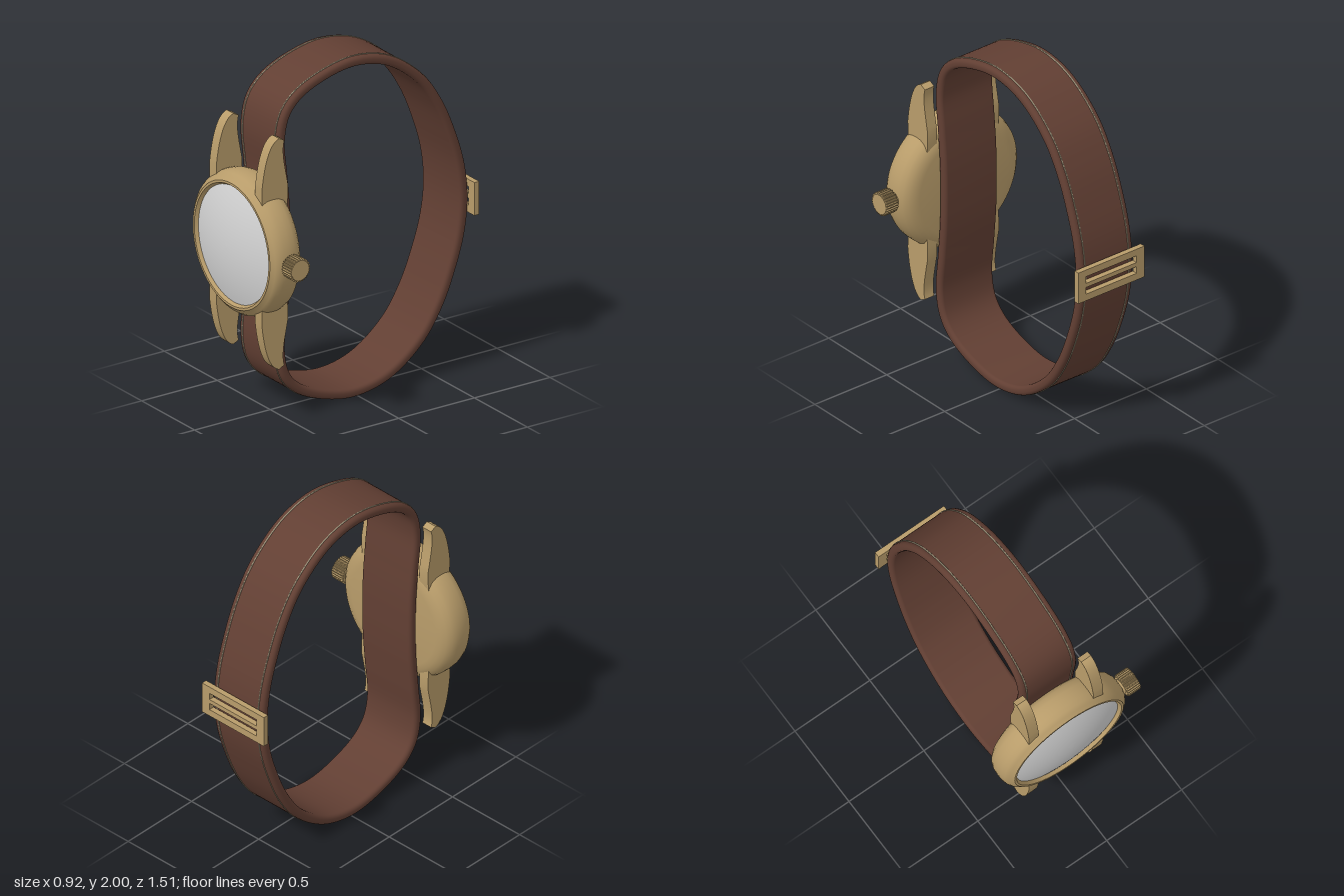
import * as THREE from 'three';
import { toCreasedNormals } from 'three/addons/utils/BufferGeometryUtils.js';

const CX = -0.05; // centre line of case and strap

export function createModel() {
  const model = new THREE.Group();
  const material = (name, color) => {
    const m = new THREE.MeshStandardMaterial({ color });
    m.name = name;
    return m;
  };
  const brass = material('brass', 0xb89c6a);
  const leather = material('brown leather', 0x623f33);
  const thread = material('stitch thread', 0x968c74);
  const glass = material('pale glass', 0xd4d4d4);

  const add = (name, geometry, mat) => {
    const mesh = new THREE.Mesh(geometry, mat);
    mesh.name = name;
    model.add(mesh);
    return mesh;
  };
  // Lathe turned so its axis points along +z; profile is [radius, z]
  const latheZ = (profile, segments = 72) =>
    new THREE.LatheGeometry(profile.map(([r, z]) => new THREE.Vector2(r, z)), segments).rotateX(Math.PI / 2);

  // Case with rounded flanks and a stepped bezel
  const caseProfile = [
    [0, 0.51], [0.31, 0.51], [0.345, 0.515], [0.375, 0.53], [0.398, 0.552], [0.41, 0.585],
    [0.412, 0.62], [0.41, 0.655], [0.402, 0.682], [0.388, 0.703], [0.368, 0.715],
    [0.364, 0.722], [0.35, 0.722], [0.336, 0.7], [0.32, 0.698],
  ];
  add('watchCase', toCreasedNormals(latheZ(caseProfile), 0.55), brass).position.set(CX, 1, 0);

  // Domed crystal
  const dome = [];
  for (let i = 0; i <= 12; i++) {
    const r = 0.338 * (1 - i / 12);
    dome.push([r, 0.755 - 0.052 * (r / 0.338) ** 2]);
  }
  add('crystal', latheZ(dome), glass).position.set(CX, 1, 0);

  // Four curved lugs, drawn in (z, y) and extruded across x
  const lugGeometry = (sign) => {
    const p = (z, y) => [-z, sign * y];
    const s = new THREE.Shape();
    s.moveTo(...p(0.53, 0.22));
    s.lineTo(...p(0.69, 0.22));
    s.lineTo(...p(0.693, 0.4));
    s.bezierCurveTo(...p(0.68, 0.52), ...p(0.65, 0.66), ...p(0.58, 0.678));
    s.lineTo(...p(0.545, 0.66));
    s.bezierCurveTo(...p(0.565, 0.6), ...p(0.545, 0.52), ...p(0.522, 0.4));
    s.lineTo(...p(0.522, 0.32));
    s.closePath();
    const g = new THREE.ExtrudeGeometry(s, { depth: 0.065, bevelEnabled: false, curveSegments: 12 });
    g.translate(0, 0, -0.0325).rotateY(Math.PI / 2);
    return toCreasedNormals(g, 0.5);
  };
  for (const side of [-1, 1]) {
    for (const end of [-1, 1]) {
      const name = (end > 0 ? 'upper' : 'lower') + (side > 0 ? 'Left' : 'Right') + 'Lug';
      add(name, lugGeometry(end), brass).position.set(CX + side * 0.2155, 1, 0);
    }
  }

  // Knurled crown on a short stem
  const knurl = new THREE.Shape();
  const teeth = 28;
  for (let i = 0; i < teeth * 4; i++) {
    const a = (i / (teeth * 4)) * Math.PI * 2;
    const r = i % 4 < 2 ? 0.069 : 0.062;
    knurl[i ? 'lineTo' : 'moveTo'](r * Math.cos(a), r * Math.sin(a));
  }
  const crown = new THREE.ExtrudeGeometry(knurl, {
    depth: 0.072, bevelThickness: 0.006, bevelSize: 0.004, bevelOffset: -0.004, bevelSegments: 1,
  });
  crown.rotateY(Math.PI / 2);
  add('crown', crown, brass).position.set(0.378, 1, 0.62);
  const stem = new THREE.CylinderGeometry(0.045, 0.045, 0.06, 24).rotateZ(Math.PI / 2);
  add('crownStem', stem, brass).position.set(0.355, 1, 0.62);

  // Strap centre line: upper half as [z, height above centre], mirrored below
  const half = [
    [0.475, 0], [0.48, 0.2], [0.497, 0.4], [0.515, 0.62], [0.482, 0.765], [0.4, 0.858], [0.23, 0.935],
    [0.02, 0.97], [-0.2, 0.92], [-0.41, 0.765], [-0.53, 0.59], [-0.612, 0.4], [-0.672, 0.2], [-0.693, 0],
  ];
  const loop = half.concat(half.slice(1, -1).reverse().map(([z, y]) => [z, -y]));
  const path = new THREE.CatmullRomCurve3(loop.map(([z, y]) => new THREE.Vector3(0, 1 + y, z)), true);
  const STEPS = 160, HALF_T = 0.0275, HALF_W = 0.185;
  const frames = [];
  for (let i = 0; i < STEPS; i++) {
    const t = path.getTangentAt(i / STEPS);
    frames.push({ point: path.getPointAt(i / STEPS), normal: new THREE.Vector3(0, -t.z, t.y) });
  }

  // Rounded strap section, counterclockwise in (x, outward)
  const section = [];
  const corner = 0.022;
  [[1, 1], [-1, 1], [-1, -1], [1, -1]].forEach(([sx, sy], q) => {
    for (let k = 0; k <= 4; k++) {
      const a = (q + k / 4) * Math.PI / 2;
      section.push([
        sx * (HALF_W - corner) + corner * Math.cos(a),
        sy * (HALF_T - corner) + corner * Math.sin(a),
      ]);
    }
  });
  const positions = [], indices = [], n = section.length;
  frames.forEach(({ point, normal }, i) => {
    section.forEach(([a, b], j) => {
      const v = point.clone().addScaledVector(normal, b);
      positions.push(CX + a, v.y, v.z);
      const next = ((i + 1) % STEPS) * n, j2 = (j + 1) % n;
      indices.push(i * n + j, next + j, i * n + j2, next + j, next + j2, i * n + j2);
    });
  });
  const strap = new THREE.BufferGeometry();
  strap.setAttribute('position', new THREE.Float32BufferAttribute(positions, 3));
  strap.setIndex(indices);
  strap.computeVertexNormals();
  add('strap', strap, leather);

  // Stitch lines along both outer edges
  for (const side of [-1, 1]) {
    const line = frames.map(({ point, normal }) => {
      const v = point.clone().addScaledVector(normal, HALF_T - 0.001);
      v.x = CX + side * 0.151;
      return v;
    });
    const tube = new THREE.TubeGeometry(new THREE.CatmullRomCurve3(line, true), 200, 0.005, 6, true);
    add(side > 0 ? 'leftStitch' : 'rightStitch', tube, thread);
  }

  // Buckle plate with two slots and a middle bar
  const rect = (target, x0, y0, x1, y1) => {
    target.moveTo(x0, y0);
    target.lineTo(x1, y0);
    target.lineTo(x1, y1);
    target.lineTo(x0, y1);
    target.closePath();
    return target;
  };
  const plate = rect(new THREE.Shape(), -0.23, -0.097, 0.23, 0.097);
  plate.holes.push(rect(new THREE.Path(), -0.175, 0.013, 0.175, 0.055));
  plate.holes.push(rect(new THREE.Path(), -0.175, -0.055, 0.175, -0.013));
  const buckle = new THREE.ExtrudeGeometry(plate, { depth: 0.032, bevelEnabled: false });
  add('buckle', buckle, brass).position.set(CX, 1.003, -0.756);

  return model;
}
